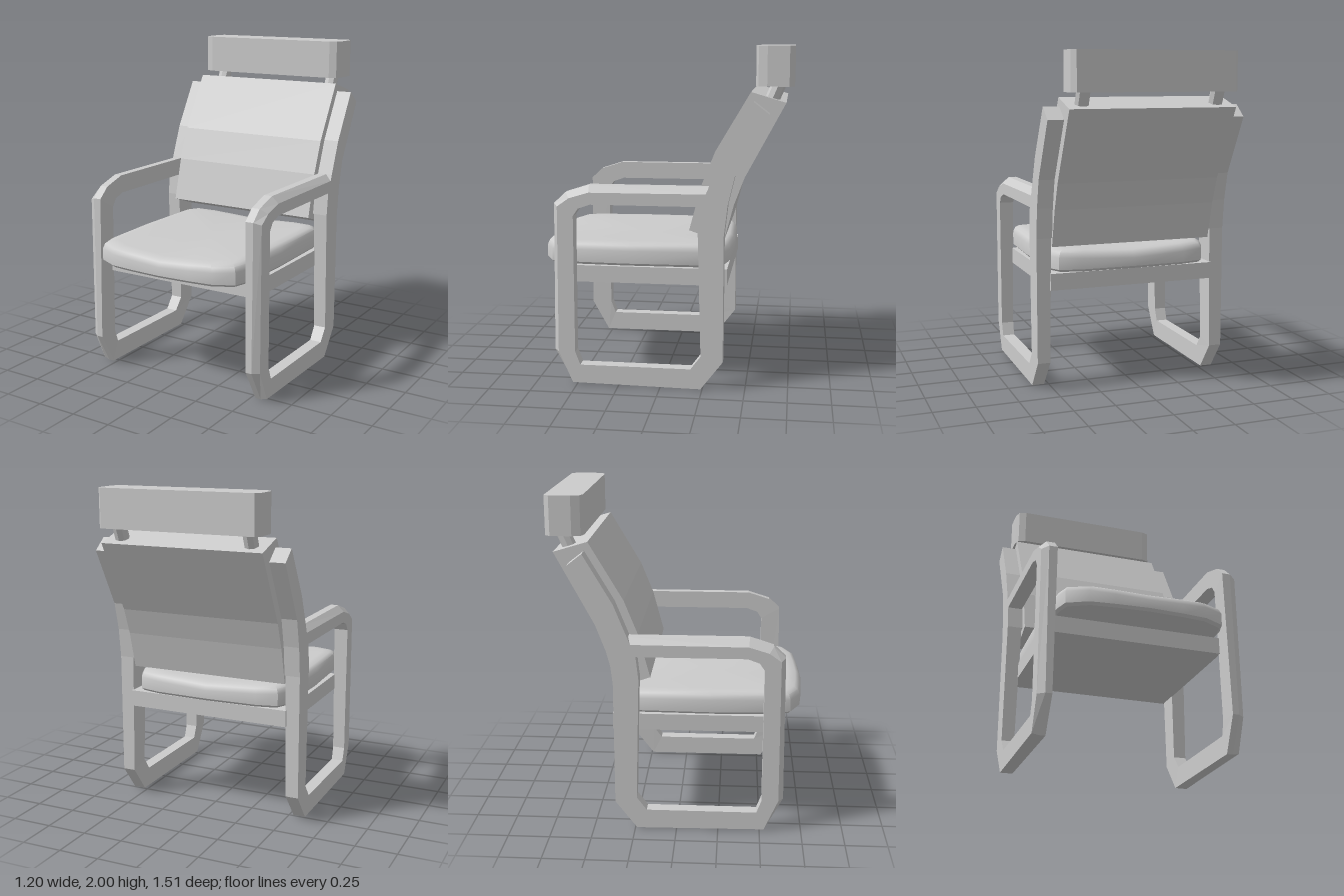
import * as THREE from 'three';
import { toCreasedNormals } from 'three/addons/utils/BufferGeometryUtils.js';

const flat = new THREE.MeshStandardMaterial({ color: 0xcccccc, flatShading: true });
const smooth = new THREE.MeshStandardMaterial({ color: 0xcccccc });

// Skin over equal-sized rings of points; either a closed loop or capped by fans
function loft(rings, closed) {
  const pos = [], n = rings[0].length;
  const tri = (...pts) => pts.forEach(p => pos.push(...p));
  const last = closed ? rings.length : rings.length - 1;
  for (let i = 0; i < last; i++) {
    const r = rings[i], q = rings[(i + 1) % rings.length];
    for (let j = 0; j < n; j++) {
      const k = (j + 1) % n;
      tri(r[j], r[k], q[k]);
      tri(r[j], q[k], q[j]);
    }
  }
  if (!closed) {
    const bottom = rings[0], top = rings[rings.length - 1];
    for (let j = 0; j < n; j++) {
      const k = (j + 1) % n;
      tri(bottom[k], bottom[j], [0, bottom[0][1], 0.17]);
      tri(top[j], top[k], [0, 0.825, 0.17]);
    }
  }
  const g = new THREE.BufferGeometry();
  g.setAttribute('position', new THREE.Float32BufferAttribute(pos, 3));
  g.computeVertexNormals();
  return g;
}

// Side profile of [z, y] points, extruded along x from x0 to x1
function sideSlab(points, x0, x1) {
  const shape = new THREE.Shape(points.map(([z, y]) => new THREE.Vector2(-z, y)));
  const g = new THREE.ExtrudeGeometry(shape, { depth: x1 - x0, bevelEnabled: false });
  return g.rotateY(Math.PI / 2).translate(x0, 0, 0);
}

// Loop of legs, runner and armrest: outer z, y, inner z, y, chamfer depth
const frameStations = [
  [0.53, 0, 0.48, 0.12, 0.01], [0.64, 0.2, 0.51, 0.2, 0.03],
  [0.63, 1.09, 0.51, 1.02, 0.03], [0.56, 1.155, 0.48, 1.065, 0.04],
  [0.42, 1.2, 0.41, 1.09, 0.04], [-0.28, 1.2, -0.235, 1.09, 0.04],
  [-0.37, 0.92, -0.22, 0.95, 0], [-0.37, 0.17, -0.24, 0.2, 0],
  [-0.24, 0, -0.18, 0.12, 0],
];
function frameLoop(side) {
  const rings = frameStations.map(([oz, oy, iz, iy, c]) => {
    const t = c / Math.hypot(iz - oz, iy - oy);
    const cz = oz + (iz - oz) * t, cy = oy + (iy - oy) * t;
    const xi = 0.525 - 0.015 * Math.min(1, oy);
    const ring = [[xi, oy, oz], [0.56, oy, oz], [0.6, cy, cz], [0.6, iy, iz], [xi, iy, iz]]
      .map(([x, y, z]) => [x * side, y, z]);
    return side > 0 ? ring : ring.reverse();
  });
  return loft(rings, true);
}

const postProfile = [
  [-0.22, 0.95], [-0.24, 1.09], [-0.28, 1.2], [-0.36, 1.4], [-0.53, 1.69],
  [-0.62, 1.62], [-0.43, 1.27], [-0.39, 1.1], [-0.37, 0.92],
];
const backProfile = [
  [-0.16, 0.935], [-0.23, 1.2], [-0.31, 1.4], [-0.51, 1.74], [-0.71, 1.68],
  [-0.48, 1.25], [-0.42, 1.09], [-0.375, 0.92], [-0.36, 0.865],
];

// Cushion with rounded rim and a top that dips toward the middle
function cushion() {
  const half = [[0, 0.755], [0.2, 0.745], [0.35, 0.73], [0.47, 0.67], [0.495, 0.58],
    [0.51, 0.2], [0.5, -0.28], [0.46, -0.36], [0.33, -0.39], [0, -0.4]];
  const outline = [...half, ...half.slice(1, -1).reverse().map(([x, z]) => [-x, z])];
  const levels = [[0.71, 0.015], [0.725, 0], [0.8, 0], [0.83, 0.012], [0.845, 0.035], [0.85, 0.08]];
  return toCreasedNormals(loft(levels.map(([y, inset]) => outline.map(([x, z]) => {
    const px = x * (1 - inset / 0.51), pz = 0.175 + (z - 0.175) * (1 - inset / 0.575);
    const dip = y > 0.75 ? 0.025 * (1 - Math.abs(px) / 0.5) : 0;
    return [px, y - Math.max(0, dip), pz];
  })), false), 0.7);
}

// Headrest block with cut corners
function headrest() {
  const half = [[0.44, -0.535], [0.485, -0.55], [0.5, -0.6], [0.5, -0.725], [0.475, -0.755]];
  const pts = [...half, ...half.slice().reverse().map(([x, z]) => [-x, z])];
  const shape = new THREE.Shape(pts.map(([x, z]) => new THREE.Vector2(x, -z)));
  return new THREE.ExtrudeGeometry(shape, { depth: 0.23, bevelEnabled: false })
    .rotateX(-Math.PI / 2).translate(0, 1.77, 0);
}

export function createModel() {
  const chair = new THREE.Group();
  chair.name = 'armchair';
  const add = (name, geometry, material = flat) => {
    const mesh = new THREE.Mesh(geometry, material);
    mesh.name = name;
    chair.add(mesh);
    return mesh;
  };

  // Mirrored side parts
  for (const [s, label] of [[1, 'left'], [-1, 'right']]) {
    add(label + 'SideFrame', frameLoop(s));
    add(label + 'BackPost', s > 0 ? sideSlab(postProfile, 0.505, 0.6) : sideSlab(postProfile, -0.6, -0.505));
    const peg = add(label + 'HeadrestPeg', new THREE.CylinderGeometry(0.042, 0.042, 0.18, 8));
    peg.position.set(s * 0.407, 1.735, -0.645);
    peg.rotation.x = -0.4;
  }

  // Seat
  add('seatPanel', new THREE.BoxGeometry(1.04, 0.1, 0.91).translate(0, 0.66, 0.07));
  add('seatCushion', cushion(), smooth);

  // Back and headrest
  add('backrest', sideSlab(backProfile, -0.503, 0.503));
  add('headrest', headrest());
  return chair;
}
